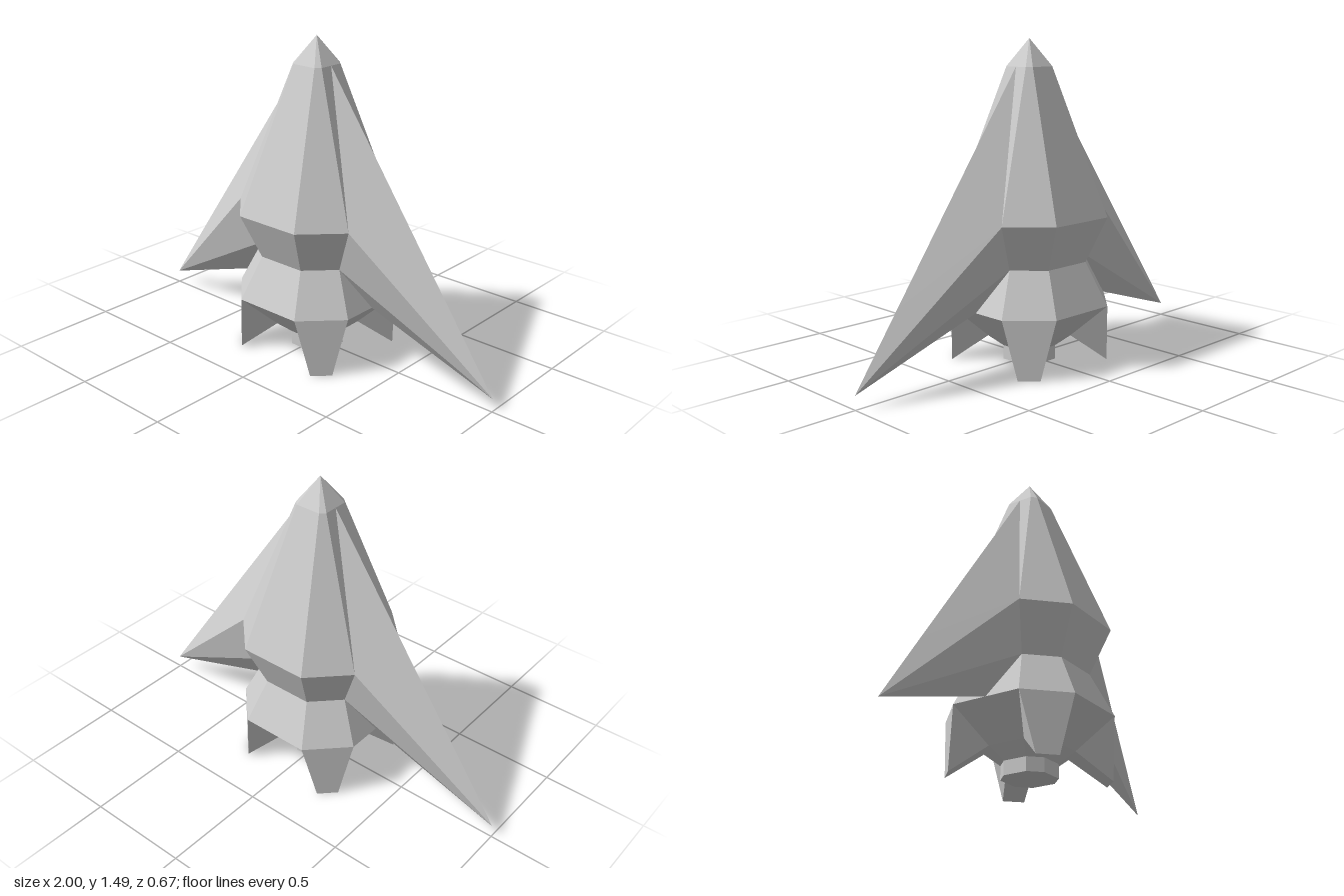
import * as THREE from 'three';

const material = new THREE.MeshStandardMaterial({ color: 0xcccccc, flatShading: true });

// Mesh from a list of triangles, each made of three [x, y, z] corners
function facets(name, triangles) {
  const geometry = new THREE.BufferGeometry();
  geometry.setAttribute('position', new THREE.Float32BufferAttribute(triangles.flat(2), 3));
  geometry.computeVertexNormals();
  const mesh = new THREE.Mesh(geometry, material);
  mesh.name = name;
  return mesh;
}

// Reflect triangles into another quadrant, keeping them facing outward
function reflect(triangles, sx, sz) {
  return triangles.map((t) => {
    const r = t.map(([x, y, z]) => [x * sx, y, z * sz]);
    return sx * sz < 0 ? r.reverse() : r;
  });
}

// Eight-sided ring: a = half width of the flat sides, b = distance to them
const ring = ([y, a, b]) =>
  [[a, b], [b, a], [b, -a], [a, -b], [-a, -b], [-b, -a], [-b, a], [-a, b]].map(([x, z]) => [x, y, z]);

// Join rings listed from bottom to top, with a cap at the bottom if asked
function loft(name, sections, capped = false) {
  const rings = sections.map(ring);
  const triangles = [];
  for (let k = 0; k < rings.length - 1; k++) {
    const low = rings[k], high = rings[k + 1];
    for (let i = 0; i < 8; i++) {
      const j = (i + 1) % 8;
      triangles.push([low[i], low[j], high[j]]);
      if (sections[k + 1][2] > 0) triangles.push([low[i], high[j], high[i]]);
    }
  }
  if (capped) {
    const base = rings[0];
    for (let i = 0; i < 8; i++) triangles.push([[0, sections[0][0], 0], base[(i + 1) % 8], base[i]]);
  }
  return facets(name, triangles);
}

export function createModel() {
  const model = new THREE.Group();
  model.name = 'spacecraft';

  // Hull with a pinched waist and pointed nose
  const tail = [0.12, 0.09, 0.18];
  const hip = [0.275, 0.168, 0.337];
  const waist = [0.475, 0.12, 0.243];
  const shoulder = [0.688, 0.166, 0.333];
  const neck = [1.36, 0.062, 0.084];
  model.add(loft('hull', [hip, waist, shoulder, neck]));
  model.add(loft('nose', [neck, [1.485, 0, 0]]));

  // Tapered tail and engine nozzle
  const throat = [0.065, 0.057, 0.114];
  model.add(loft('tailCone', [throat, tail, hip]));
  model.add(loft('nozzle', [[0, 0.057, 0.114], throat], true));

  // Wings: front half of the left one, reflected for the rest
  const root = [0.084, 1.36, 0], bend = [0.775, 0.382, 0], tip = [1, 0.062, 0];
  const keel = [0.337, 0.275, 0];
  const shoulderCorner = ring(shoulder)[1], waistCorner = ring(waist)[1];
  const halfWing = [
    [root, shoulderCorner, bend],
    [shoulderCorner, tip, bend],
    [shoulderCorner, waistCorner, tip],
    [waistCorner, keel, tip],
  ];
  for (const sx of [1, -1]) {
    const triangles = [...reflect(halfWing, sx, 1), ...reflect(halfWing, sx, -1)];
    model.add(facets(sx > 0 ? 'leftWing' : 'rightWing', triangles));
  }

  // Wedge-shaped landing legs on the four diagonal faces
  const [topA, topB] = ring(hip), [innerA, innerB] = ring(tail);
  const [footA, footB] = ring([0, 0.22, 0.291]);
  const leg = [
    [footA, footB, topB], [footA, topB, topA],
    [innerA, innerB, footB], [innerA, footB, footA],
    [innerA, footA, topA], [innerB, topB, footB],
  ];
  for (const sx of [1, -1]) {
    for (const sz of [1, -1]) {
      model.add(facets((sz > 0 ? 'front' : 'back') + (sx > 0 ? 'Left' : 'Right') + 'Leg', reflect(leg, sx, sz)));
    }
  }
  return model;
}
